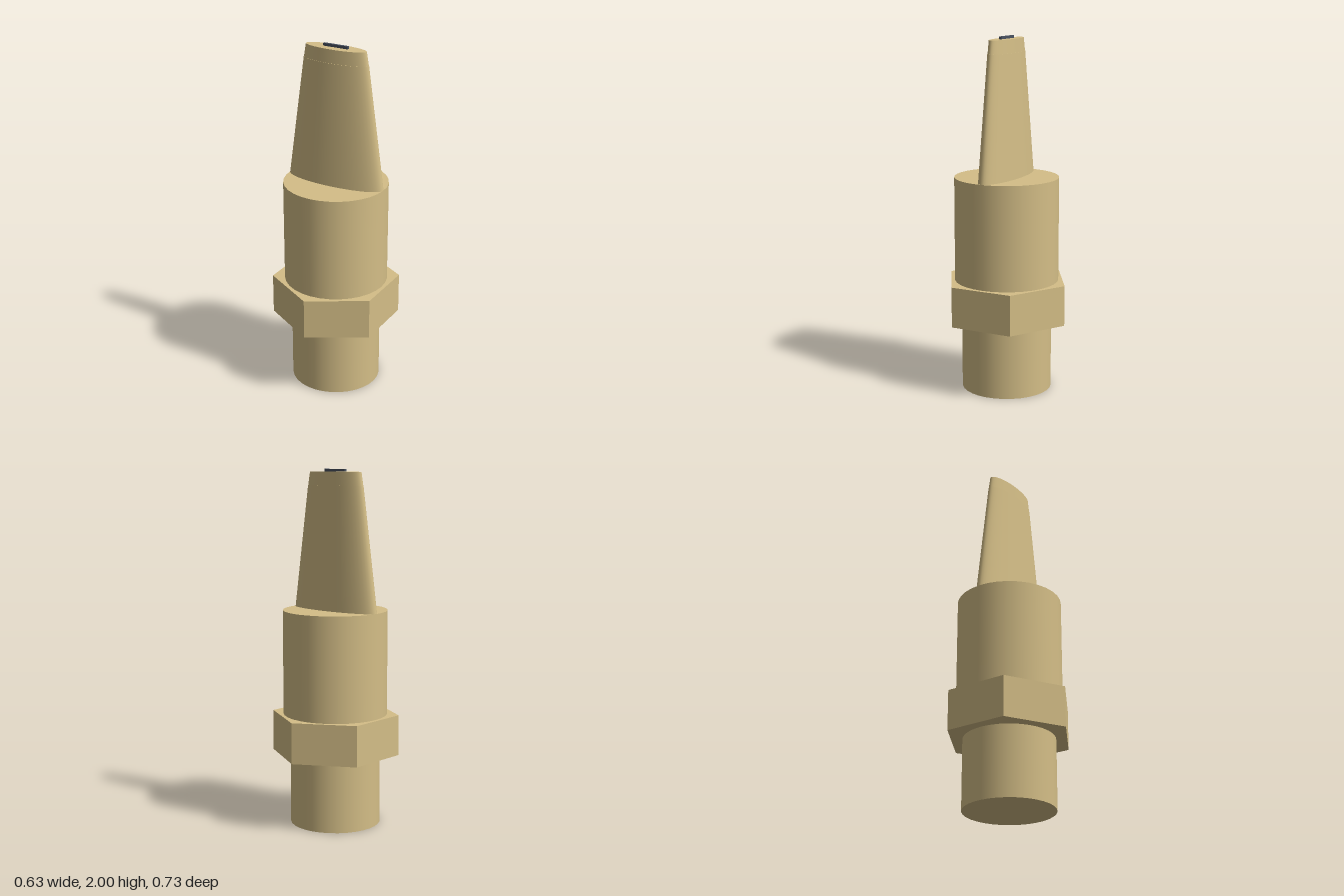
import * as THREE from 'three';

const SIDES = 32;

export function createModel() {
  const model = new THREE.Group();
  model.name = 'nozzle';

  const brass = new THREE.MeshStandardMaterial({ color: 0xd4be87 });
  const brassFlat = new THREE.MeshStandardMaterial({ color: 0xd4be87, flatShading: true });
  const dark = new THREE.MeshStandardMaterial({ color: 0x4a5260 });

  // Upright round part between two heights; depth squashes it into an ellipse
  function addTurned(name, y0, y1, rBottom, rTop, { depth = 1, sides = SIDES, material = brass } = {}) {
    const geometry = new THREE.CylinderGeometry(rTop, rBottom, y1 - y0, sides);
    geometry.scale(1, 1, depth);
    const mesh = new THREE.Mesh(geometry, material);
    mesh.name = name;
    mesh.position.y = (y0 + y1) / 2;
    model.add(mesh);
  }

  // Round lower half: stem, hex nut with corners on the z axis, body
  addTurned('stem', 0, 0.4, 0.255, 0.255);
  addTurned('hexNut', 0.4, 0.63, 0.363, 0.363, { sides: 6, material: brassFlat });
  addTurned('body', 0.63, 1.22, 0.294, 0.294);

  // Flattened, tapering blade with a steeper rim
  addTurned('blade', 1.22, 1.91, 0.294, 0.197, { depth: 0.295, sides: 48 });
  addTurned('bladeRim', 1.91, 1.985, 0.196, 0.183, { depth: 0.285, sides: 48 });

  // Narrow outlet slot at the tip
  const slot = new THREE.Mesh(new THREE.BoxGeometry(0.148, 0.03, 0.014), dark);
  slot.name = 'outletSlot';
  slot.position.y = 1.985;
  model.add(slot);

  return model;
}
